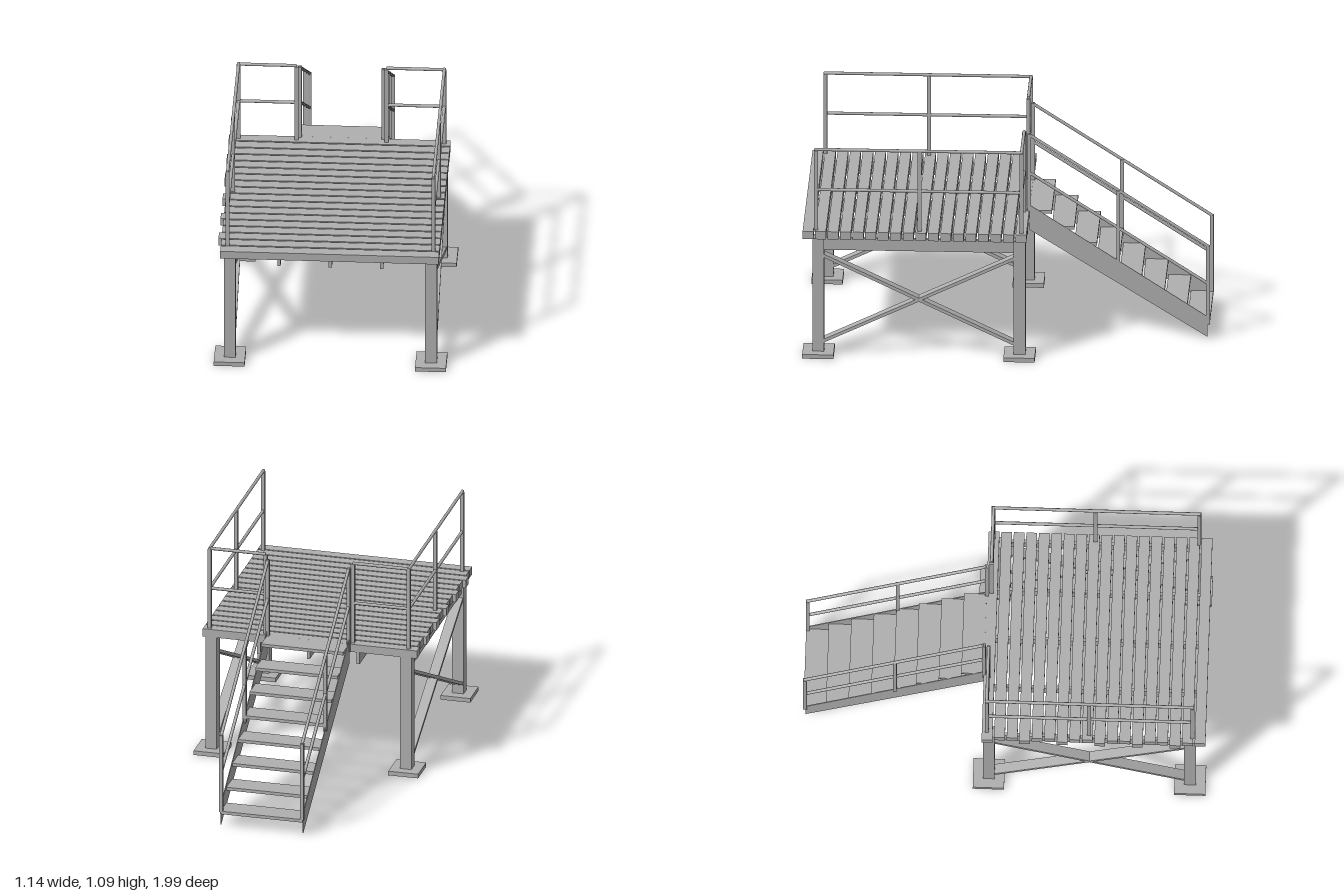
import * as THREE from 'three';

const steel = new THREE.MeshStandardMaterial({ color: 0xb0b0b0 });
steel.name = 'grey';

export function createModel() {
  const model = new THREE.Group();
  model.name = 'platformWithStairs';

  const add = (name, geometry) => {
    const mesh = new THREE.Mesh(geometry, steel);
    mesh.name = name;
    model.add(mesh);
    return mesh;
  };

  // Box given by its lower and upper corners
  const block = (name, x0, x1, y0, y1, z0, z1) => {
    const mesh = add(name, new THREE.BoxGeometry(x1 - x0, y1 - y0, z1 - z0));
    mesh.position.set((x0 + x1) / 2, (y0 + y1) / 2, (z0 + z1) / 2);
    return mesh;
  };

  // Upright square post centred on x, z
  const upright = (name, x, z, y0, y1, w) =>
    block(name, x - w / 2, x + w / 2, y0, y1, z - w / 2, z + w / 2);

  // Round rail between two points
  const rail = (name, a, b, r = 0.008) => {
    const from = new THREE.Vector3(...a);
    const dir = new THREE.Vector3(...b).sub(from);
    const mesh = add(name, new THREE.CylinderGeometry(r, r, dir.length(), 10));
    mesh.position.copy(from).addScaledVector(dir, 0.5);
    mesh.quaternion.setFromUnitVectors(new THREE.Vector3(0, 1, 0), dir.normalize());
  };

  // Deck planks, every third one shifted sideways
  for (let i = 0; i < 18; i++) {
    const z = 0.968 - i * 0.0617;
    const left = i % 3 === 2 ? -0.555 : -0.54;
    block('deckPlank', left, 0.537, 0.62, 0.661, z - 0.0265, z + 0.0265);
  }

  // Joists under the deck
  for (let i = -2; i <= 2; i++) {
    const x = i * 0.253;
    block('joist', x - 0.008, x + 0.008, 0.556, 0.62, -0.102, 0.947);
  }

  const deckTop = 0.66, railTop = 1.084, railMid = 0.872;
  const frontZ = 0.93, midZ = 0.42, backZ = -0.083;

  // Stair side plate outline, in z and y
  const plate = new THREE.Shape([
    new THREE.Vector2(0.107, 0.56), new THREE.Vector2(0.985, 0.008),
    new THREE.Vector2(0.985, 0.115), new THREE.Vector2(0.107, 0.692),
  ]);

  for (const s of [-1, 1]) {
    // Legs and foot plates
    for (const z of [0.918, -0.073]) {
      upright('leg', s * 0.496, z, 0.02, 0.62, 0.058);
      block('footPlate', s * 0.496 - 0.076, s * 0.496 + 0.076, 0, 0.022, z - 0.077, z + 0.077);
    }

    // Crossed flat braces between the legs
    for (const d of [-1, 1]) {
      const brace = add('crossBrace', new THREE.BoxGeometry(0.05, 0.016, Math.hypot(0.94, 0.452)));
      brace.position.set(s * 0.496, 0.301, 0.4225);
      brace.rotation.x = d * Math.atan2(0.452, 0.94);
    }

    // Deck railing
    const outer = s * 0.507, inner = s * 0.222;
    for (const [x, z] of [[outer, frontZ], [outer, midZ], [outer, backZ], [inner, backZ]])
      upright('railingPost', x, z, deckTop, 1.08, 0.019);
    for (const y of [railTop, railMid]) {
      rail('sideRail', [outer, y, frontZ + 0.008], [outer, y, backZ - 0.008]);
      rail('backRail', [outer, y, backZ], [inner, y, backZ]);
    }

    // Stair side plate
    const stringer = add('stairSidePlate',
      new THREE.ExtrudeGeometry(plate, { depth: 0.004, bevelEnabled: false }));
    stringer.rotation.y = Math.PI / 2;
    stringer.position.x = s * 0.209 - 0.002;

    // Stair railing
    const x = s * 0.206;
    upright('stairPost', x, -0.107, 0.62, 1.065, 0.018);
    upright('stairPost', x, -0.545, 0.375, 0.775, 0.018);
    upright('stairPost', x, -0.988, 0.08, 0.488, 0.018);
    rail('stairHandrail', [x, 1.062, -0.105], [x, 0.485, -0.99]);
    rail('stairMidRail', [x, 0.862, -0.105], [x, 0.287, -0.99]);
  }

  // Stair treads
  for (let i = 0; i < 8; i++) {
    const z = -0.163 - i * 0.111, y = 0.653 - i * 0.0823;
    block('stairTread', -0.209, 0.209, y - 0.008, y + 0.008, z - 0.0555, z + 0.0555);
  }

  return model;
}
